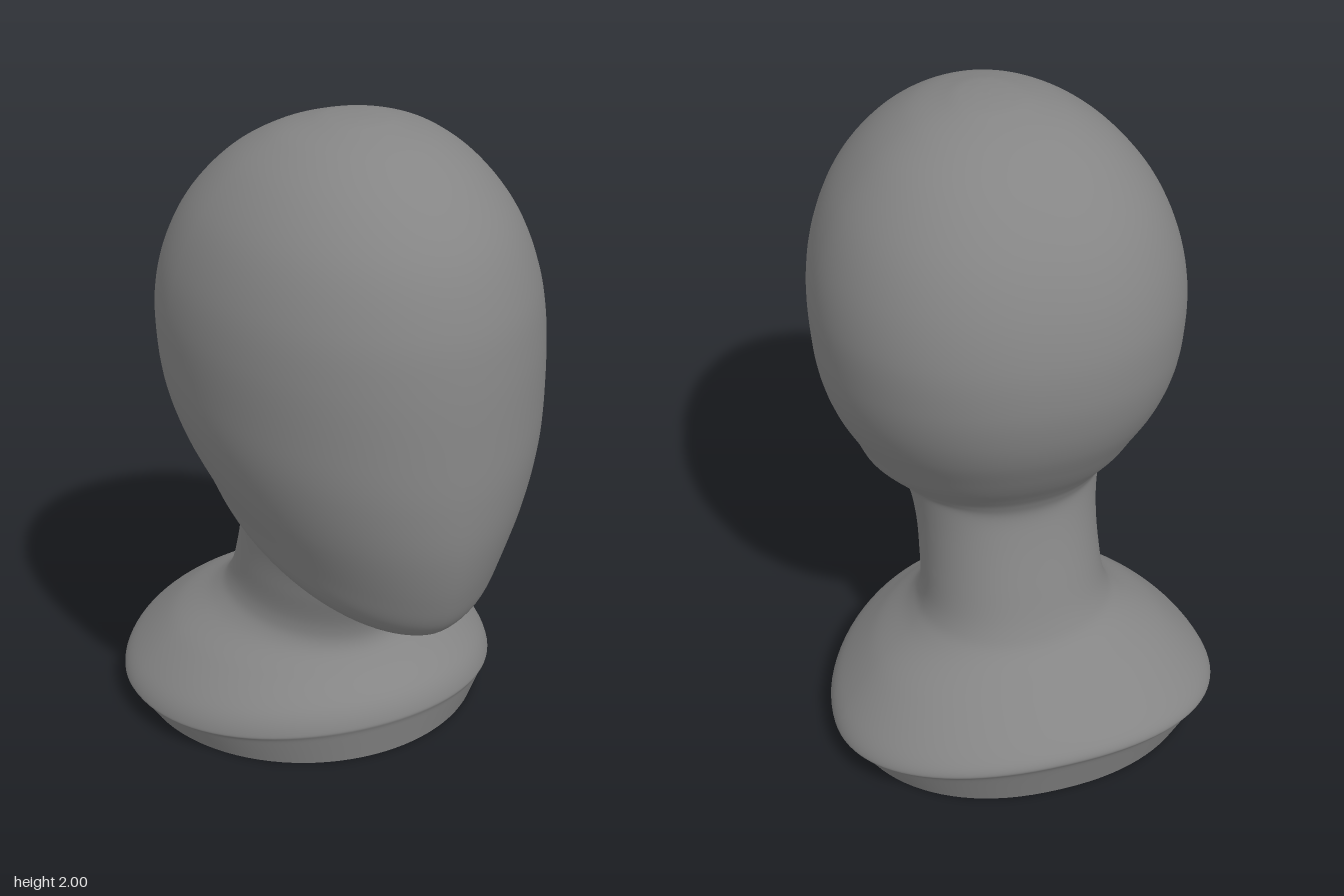
import * as THREE from 'three';

const SIDES = 96;
const WIDEST = 0.43; // where a section is widest, as a fraction from back to front

// One point on a tilted oval section running from its back point to its front point.
// f = (front z, front y, half width), b = (back z, back y, lift of the sides)
function sectionPoint(f, b, angle) {
  const { lerp, smoothstep } = THREE.MathUtils;
  const c = Math.cos(angle), s = Math.sin(angle);
  const t = WIDEST + c * (c > 0 ? 1 - WIDEST : WIDEST);
  // the chin is a little pointed, the rest round
  const pointed = 1 + 0.16 * smoothstep(f.x, 0.3, 0.6) * (1 - smoothstep(f.y, 0.7, 1.2));
  const x = f.z * Math.sign(s) * Math.pow(Math.abs(s), c > 0 ? pointed : 0.9);
  return [x, lerp(b.y, f.y, t) + b.z * s * s, lerp(b.x, f.x, t)];
}

// Skin through sections, each [front z, front y, back z, back y, half width, side lift]
function loft(name, rows, steps, material) {
  const front = new THREE.CatmullRomCurve3(
    rows.map((r) => new THREE.Vector3(r[0], r[1], r[4])), false, 'catmullrom', 0.5);
  const back = new THREE.CatmullRomCurve3(
    rows.map((r) => new THREE.Vector3(r[2], r[3], r[5])), false, 'catmullrom', 0.5);
  const positions = [], index = [];
  for (let i = 0; i <= steps; i++) {
    const f = front.getPoint(i / steps), b = back.getPoint(i / steps);
    for (let j = 0; j < SIDES; j++) {
      positions.push(...sectionPoint(f, b, (j / SIDES) * Math.PI * 2));
      if (i === steps) continue;
      const k = (j + 1) % SIDES, lo = i * SIDES, hi = lo + SIDES;
      index.push(lo + j, lo + k, hi + k, lo + j, hi + k, hi + j);
    }
  }
  const geometry = new THREE.BufferGeometry();
  geometry.setAttribute('position', new THREE.Float32BufferAttribute(positions, 3));
  geometry.setIndex(index);
  geometry.computeVertexNormals();
  const mesh = new THREE.Mesh(geometry, material);
  mesh.name = name;
  return mesh;
}

export function createModel() {
  const group = new THREE.Group();
  group.name = 'mannequinHead';
  const material = new THREE.MeshStandardMaterial({ color: 0x858585 });

  const centre = [-0.25, 0, -0.25, 0, 0, 0];
  const foot = [0.30, 0, -0.67, 0, 0.56, 0];

  // Flat underside
  group.add(loft('baseUnderside', [centre, foot], 1, material));

  // Base wall, shoulders, leaning neck, jaw and skull in one smooth skin
  const rows = [
    foot,
    [0.323, 0.105, -0.715, 0.143, 0.603, -0.06],
    // rim of the base
    [0.33, 0.14, -0.733, 0.19, 0.617, -0.08],
    [0.30, 0.20, -0.69, 0.24, 0.58, -0.07],
    [0.22, 0.27, -0.58, 0.315, 0.47, -0.03],
    [0.175, 0.33, -0.47, 0.38, 0.34, 0],
    [0.175, 0.40, -0.42, 0.45, 0.292, 0],
    [0.21, 0.50, -0.37, 0.58, 0.28, 0],
    [0.235, 0.552, -0.325, 0.71, 0.28, 0.035],
    // underside of the jaw
    [0.28, 0.573, -0.303, 0.80, 0.295, 0.075],
    [0.42, 0.57, -0.315, 0.855, 0.325, 0.06],
    [0.55, 0.578, -0.345, 0.905, 0.36, 0.04],
    // face and back of the skull
    [0.64, 0.64, -0.395, 0.975, 0.40, 0.02],
    [0.69, 0.75, -0.44, 1.05, 0.435, 0.01],
    [0.725, 0.90, -0.49, 1.15, 0.487, 0],
    [0.735, 1.05, -0.52, 1.25, 0.525, 0],
    [0.73, 1.20, -0.532, 1.36, 0.542, 0],
    [0.715, 1.40, -0.52, 1.49, 0.545, 0],
    [0.685, 1.56, -0.474, 1.63, 0.518, 0],
    [0.615, 1.72, -0.395, 1.76, 0.455, 0],
    // crown
    [0.50, 1.85, -0.277, 1.875, 0.355, 0],
    [0.364, 1.94, -0.145, 1.95, 0.238, 0],
    [0.235, 1.985, -0.03, 1.987, 0.122, 0],
    [0.165, 1.997, 0.035, 1.997, 0.06, 0],
    [0.10, 2.0, 0.10, 2.0, 0, 0],
  ];
  group.add(loft('neckAndHead', rows, (rows.length - 1) * 8, material));

  return group;
}
